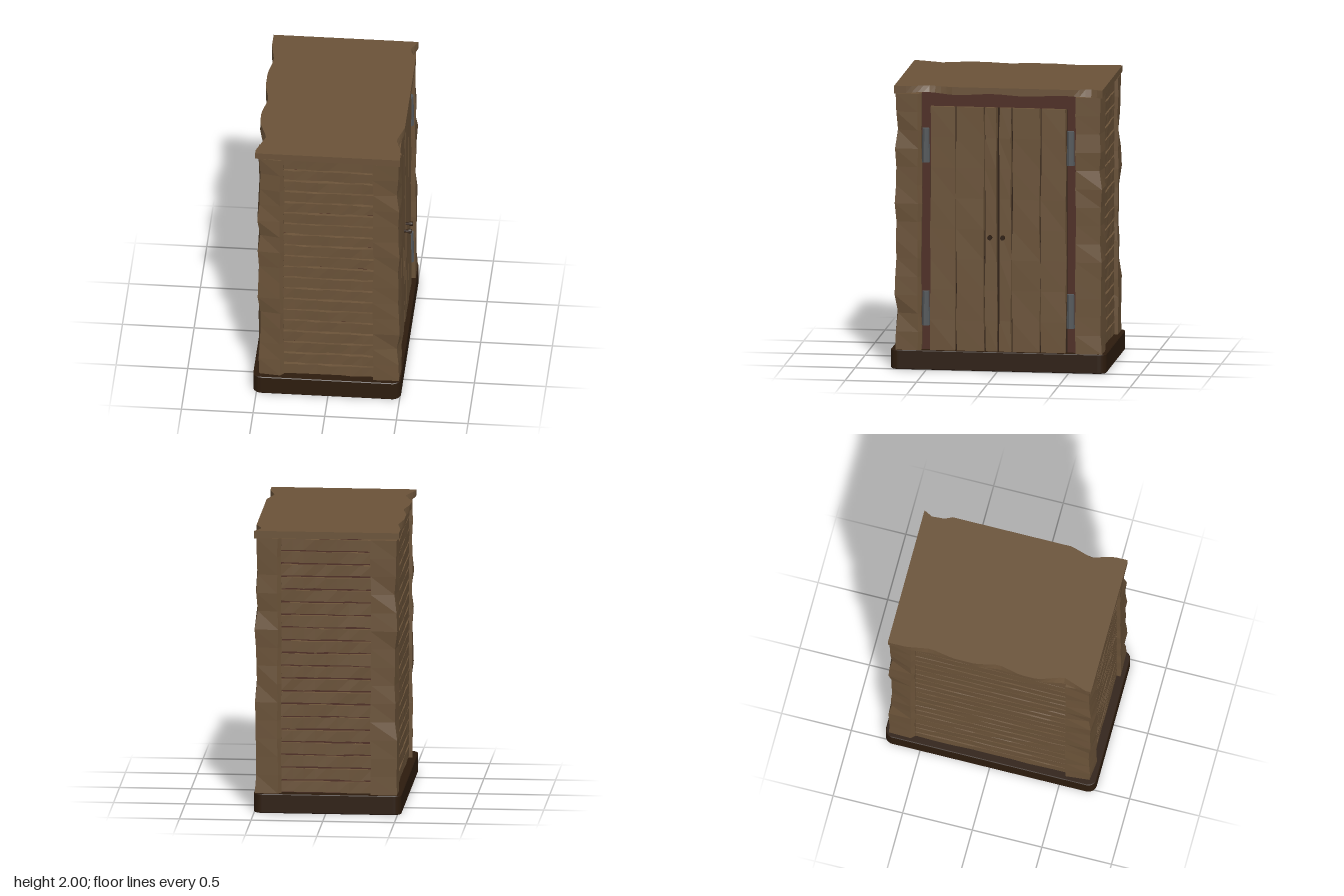
import * as THREE from 'three';

const material = (color) => new THREE.MeshStandardMaterial({ color, flatShading: true });
const WOOD = material(0x6b5339), DARK = material(0x2d1c0e);
const RED = material(0x4e2d23), IRON = material(0x55595c);

// Repeatable noise in -1..1, the same for vertices that share a position
function noise(x, y, z, seed) {
  const s = Math.sin(Math.round(x * 500) * 12.99 + Math.round(y * 500) * 78.23 + Math.round(z * 500) * 37.72 + seed * 4.13) * 43758.55;
  return (s - Math.floor(s)) * 2 - 1;
}

// Moves every vertex of a geometry by a rule
function deform(geometry, rule) {
  const p = geometry.attributes.position, v = new THREE.Vector3();
  for (let i = 0; i < p.count; i++) {
    rule(v.fromBufferAttribute(p, i));
    p.setXYZ(i, v.x, v.y, v.z);
  }
  geometry.computeVertexNormals();
  return geometry;
}

function add(parent, name, geometry, mat, x = 0, y = 0, z = 0) {
  const mesh = new THREE.Mesh(geometry, mat);
  mesh.name = name;
  mesh.position.set(x, y, z);
  parent.add(mesh);
  return mesh;
}

// Hand-cut board along local x, with uneven long edges
function board(length, height, depth, seed, rough) {
  return deform(new THREE.BoxGeometry(length, height, depth, 8, 1, 1), (v) => {
    const { x, y, z } = v;
    v.y += noise(x, y, z, seed) * rough;
    v.z += noise(x, y, z, seed + 7) * rough * 0.6;
  });
}

// Corner post whose outer (+x, +z) edge is chipped by varying amounts
function post(seed) {
  const a = 0.093, c = 0.025, h = 1.81;
  const section = new THREE.Shape([[-a, -a], [a, -a], [a, a - c], [a - c, a], [-a, a]].map(([x, y]) => new THREE.Vector2(x, y)));
  const geometry = new THREE.ExtrudeGeometry(section, { depth: h, steps: 14, bevelEnabled: false });
  geometry.rotateX(Math.PI / 2).translate(0, h, 0).rotateY(Math.PI / 2);
  return deform(geometry, (v) => {
    const { x, y, z } = v;
    const end = y < 0.01 || y > h - 0.01;
    if (x + z > 0.1) {
      const chip = 0.012 + 0.012 * noise(0, y, 0, seed);
      v.x -= chip;
      v.z -= chip;
    } else if (!end) {
      v.x += noise(x, y, z, seed + 1) * 0.005;
      v.z += noise(x, y, z, seed + 2) * 0.005;
    }
  });
}

// Wall of horizontal slats facing local +z, with a dark panel behind the gaps
function slatWall(name, width, seed) {
  const wall = new THREE.Group();
  wall.name = name;
  add(wall, 'wallPanel', new THREE.BoxGeometry(width + 0.04, 1.81, 0.02), RED, 0, 1.04, -0.035);
  const pitch = 1.81 / 20;
  for (let i = 0; i < 20; i++) {
    add(wall, 'slat', board(width, pitch - 0.014, 0.045, seed + i, 0.004), WOOD, 0, 0.135 + (i + 0.5) * pitch, -0.0225);
  }
  return wall;
}

// Roof slab with notches worn into the long edges: [z, depth, half width]
function roofGeometry() {
  const notches = {
    '-1': [[-0.43, 0.03, 0.17], [0.06, 0.035, 0.16], [0.52, 0.06, 0.17]],
    '1': [[-0.63, 0.05, 0.1], [0.48, 0.045, 0.15]],
  };
  return deform(new THREE.BoxGeometry(1.01, 0.055, 1.46, 1, 1, 36), (v) => {
    const { x, y, z } = v, side = Math.sign(x);
    let cut = 0;
    for (const [at, depth, half] of notches[side]) cut += depth * Math.max(0, 1 - Math.abs(z - at) / half);
    v.x -= side * cut * (y > 0 ? 1 : 0.6);
    if (y < 0) v.y += 0.006 + 0.006 * Math.sin(z * 13 + side);
  });
}

// Base slab with rounded corners
function baseGeometry() {
  const w = 0.51, d = 0.752, r = 0.055, shape = new THREE.Shape();
  shape.absarc(w - r, d - r, r, 0, Math.PI / 2);
  shape.absarc(r - w, d - r, r, Math.PI / 2, Math.PI);
  shape.absarc(r - w, r - d, r, Math.PI, Math.PI * 1.5);
  shape.absarc(w - r, r - d, r, Math.PI * 1.5, Math.PI * 2);
  const geometry = new THREE.ExtrudeGeometry(shape, {
    depth: 0.125, curveSegments: 5, bevelSize: 0.005, bevelThickness: 0.005, bevelSegments: 1,
  });
  return geometry.rotateX(-Math.PI / 2).translate(0, 0.005, 0);
}

export function createModel() {
  const model = new THREE.Group();
  model.name = 'cupboard';
  add(model, 'base', baseGeometry(), DARK, -0.01, 0, -0.002);
  add(model, 'roof', roofGeometry(), WOOD, -0.005, 1.9725, -0.005);

  // Corner posts, each turned so its chipped edge faces outward
  [[1, 1], [1, -1], [-1, -1], [-1, 1]].forEach(([sx, sz], i) => {
    const mesh = add(model, 'cornerPost', post(11 * i + 3), WOOD, sx * 0.405, 0.135, sz * 0.635 - 0.005);
    mesh.rotation.y = i * Math.PI / 2;
  });

  // Slatted front, back and right walls
  const front = slatWall('frontWall', 0.63, 1);
  front.position.z = 0.695;
  const back = slatWall('backWall', 0.63, 31);
  back.position.z = -0.705;
  back.rotation.y = Math.PI;
  const side = slatWall('sideWall', 1.09, 61);
  side.position.x = -0.475;
  side.rotation.y = -Math.PI / 2;
  model.add(front, back, side);

  // Door frame and the panel that closes the gaps between planks
  add(model, 'frameHeader', new THREE.BoxGeometry(0.06, 0.095, 1.09), RED, 0.415, 1.9, -0.005);
  for (const s of [1, -1]) add(model, 'frameJamb', new THREE.BoxGeometry(0.06, 1.75, 0.07), RED, 0.415, 1.0, s * 0.515 - 0.005);
  add(model, 'doorBacking', new THREE.BoxGeometry(0.02, 1.72, 0.97), DARK, 0.42, 0.995, 0);

  // Two plank doors with knobs and hinges
  const edges = [0.005, 0.095, 0.297, 0.48];
  for (const s of [1, -1]) {
    const door = new THREE.Group();
    door.name = s > 0 ? 'frontDoor' : 'backDoor';
    for (let i = 0; i < 3; i++) {
      const width = edges[i + 1] - edges[i] - 0.009;
      const plank = board(1.72, width, 0.045, i * 5 + s * 17, 0.005);
      plank.rotateZ(Math.PI / 2).rotateY(Math.PI / 2);
      add(door, 'plank', plank, WOOD, 0.45, 0.995, s * (edges[i] + edges[i + 1]) / 2);
    }
    const stem = new THREE.CylinderGeometry(0.01, 0.01, 0.04, 8).rotateZ(Math.PI / 2);
    add(door, 'knobStem', stem, DARK, 0.485, 0.945, s * 0.045 + 0.008);
    const knob = new THREE.CylinderGeometry(0.017, 0.017, 0.022, 10).rotateZ(Math.PI / 2);
    add(door, 'knob', knob, DARK, 0.512, 0.945, s * 0.045 + 0.008);
    for (const y of [0.43, 1.58]) {
      add(door, 'hinge', new THREE.CylinderGeometry(0.025, 0.029, 0.24, 10), IRON, 0.462, y, s * 0.508);
    }
    model.add(door);
  }
  return model;
}
